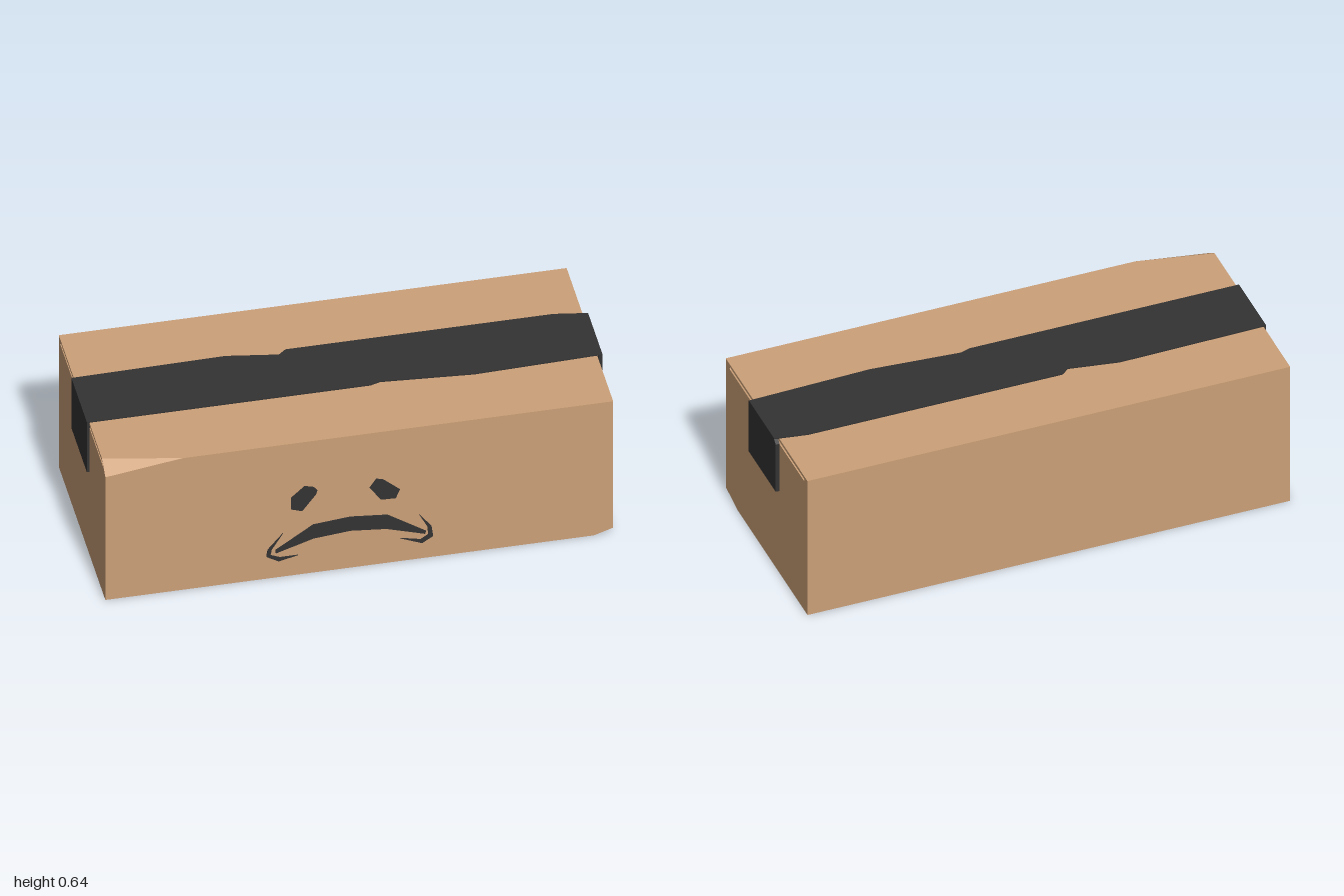
import * as THREE from 'three';

const X0 = -0.99, X1 = 0.98, H = 0.633, ZB = -0.422, ZF = 0.418;
const card = new THREE.MeshStandardMaterial({ color: 0xcca078, side: THREE.DoubleSide, flatShading: true });
const dark = new THREE.MeshStandardMaterial({ color: 0x333333, flatShading: true });

const vectors = (pts) => pts.map(([x, y]) => new THREE.Vector2(x, y));

function add(parent, name, geometry, material) {
  const mesh = new THREE.Mesh(geometry, material);
  mesh.name = name;
  parent.add(mesh);
  return mesh;
}

// Flat convex polygons, each fanned from its first corner
function panels(polygons) {
  const pos = [];
  for (const p of polygons)
    for (let i = 1; i < p.length - 1; i++) pos.push(...p[0], ...p[i], ...p[i + 1]);
  const g = new THREE.BufferGeometry();
  g.setAttribute('position', new THREE.Float32BufferAttribute(pos, 3));
  g.computeVertexNormals();
  return g;
}

function slab(pts, depth) {
  return new THREE.ExtrudeGeometry(new THREE.Shape(vectors(pts)), { depth, bevelEnabled: false });
}

// End wall with a slim hand slot; side is +1 or -1, outline is in (z, y)
function endWall(parent, name, side, outline) {
  const x = side > 0 ? X1 : X0, inner = x - side * 0.02;
  const slot = [[0.374, 0.609], [-0.386, 0.609], [-0.391, 0.615], [-0.386, 0.621], [0.374, 0.621], [0.379, 0.615]];
  const flip = (pts) => pts.map(([z, y]) => [-side * z, y]);
  const shape = new THREE.Shape(vectors(flip(outline)));
  shape.holes.push(new THREE.Path(vectors(flip(slot))));
  const wall = add(parent, name, new THREE.ShapeGeometry(shape).rotateY(side * Math.PI / 2), card);
  wall.position.x = x;
  // slot floor and walls
  const floor = slot.map(([z, y]) => [inner, y, z]);
  if (side < 0) floor.reverse();
  const polys = [floor];
  slot.forEach(([z, y], i) => {
    const [z2, y2] = slot[(i + 1) % slot.length];
    polys.push([[x, y, z], [x, y2, z2], [inner, y2, z2], [inner, y, z]]);
  });
  add(parent, name + 'Slot', panels(polys), card);
}

export function createModel() {
  const model = new THREE.Group();
  model.name = 'cardboardBox';

  // Box, with one top corner and one bottom corner dented flat
  const box = new THREE.Group();
  box.name = 'box';
  model.add(box);
  const a = [[-0.69, H, ZF], [X0, H, 0.355], [X0, 0.59, ZF]];
  const b = [[0.905, 0, ZF], [X1, 0, 0.295], [X1, 0.025, ZF]];
  add(box, 'boxPanels', panels([
    [[X0, H, ZB], a[1], a[0], [X1, H, ZF], [X1, H, ZB]],
    [[X0, 0, ZB], [X1, 0, ZB], b[1], b[0], [X0, 0, ZF]],
    [[X0, 0, ZF], b[0], b[2], [X1, H, ZF], a[0], a[2]],
    [[X1, 0, ZB], [X0, 0, ZB], [X0, H, ZB], [X1, H, ZB]],
    a, b,
  ]), card);
  endWall(box, 'leftEnd', 1, [[ZB, 0], [0.295, 0], [ZF, 0.025], [ZF, H], [ZB, H]]);
  endWall(box, 'rightEnd', -1, [[ZB, 0], [ZF, 0], [ZF, 0.59], [0.355, H], [ZB, H]]);

  // Tape strip with torn edges, outlined in (x, -z)
  const tape = new THREE.Group();
  tape.name = 'tape';
  model.add(tape);
  const strip = add(tape, 'topTape', slab([
    [-1, -0.13], [0.1, -0.13], [0.14, -0.117], [0.5, -0.146], [1, -0.13],
    [1, 0.128], [0.87, 0.15], [-0.17, 0.15], [-0.2, 0.124], [-0.4, 0.158], [-1, 0.148],
  ], 0.006).rotateX(-Math.PI / 2), dark);
  strip.position.y = H - 0.001;

  // Tape ends folded down over the walls
  const leftFlap = add(tape, 'leftTapeFlap', slab([
    [-0.132, 0.397], [0.146, 0.397], [0.146, 0.62], [0.124, 0.636], [-0.132, 0.636],
  ], 0.016).rotateY(Math.PI / 2), dark);
  leftFlap.position.x = 0.984;
  const rightFlap = add(tape, 'rightTapeFlap', slab([
    [-0.147, 0.397], [0.131, 0.397], [0.131, 0.636], [-0.147, 0.636],
  ], 0.013).rotateY(-Math.PI / 2), dark);
  rightFlap.position.x = -0.987;

  // Sad face in thin cut-outs, outlined in (x, y)
  const face = new THREE.Group();
  face.name = 'face';
  model.add(face);
  const features = {
    rightEye: [[-0.27, 0.374], [-0.217, 0.422], [-0.182, 0.412], [-0.168, 0.395], [-0.174, 0.376], [-0.227, 0.305], [-0.27, 0.32]],
    leftEye: [[0.035, 0.374], [0.061, 0.412], [0.088, 0.404], [0.152, 0.347], [0.136, 0.308], [0.078, 0.31]],
    mouth: [[-0.329, 0.134], [-0.184, 0.232], [-0.04, 0.246], [0.104, 0.232], [0.254, 0.13],
      [0.249, 0.118], [0.099, 0.166], [-0.04, 0.18], [-0.184, 0.166], [-0.329, 0.118]],
    rightCheek: [[-0.302, 0.209], [-0.361, 0.139], [-0.366, 0.107], [-0.318, 0.078], [-0.243, 0.096],
      [-0.313, 0.096], [-0.35, 0.112], [-0.345, 0.139]],
    leftCheek: [[0.227, 0.214], [0.275, 0.15], [0.281, 0.102], [0.238, 0.075], [0.152, 0.112],
      [0.233, 0.093], [0.262, 0.112], [0.259, 0.15]],
  };
  for (const [name, pts] of Object.entries(features))
    add(face, name, slab(pts, 0.005), dark).position.z = ZF - 0.001;

  return model;
}
